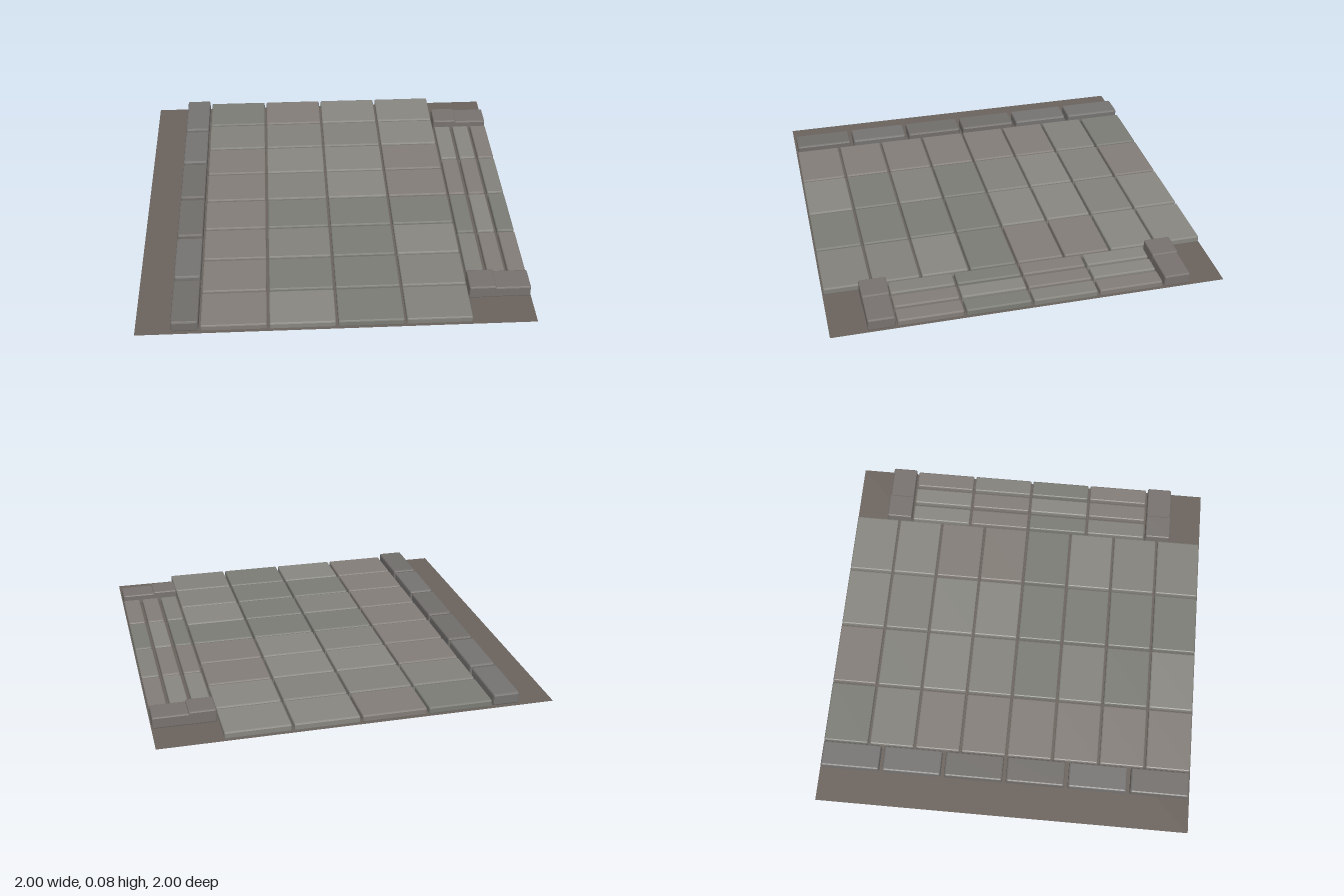
import * as THREE from 'three';
import { RoundedBoxGeometry } from 'three/addons/geometries/RoundedBoxGeometry.js';

const BASE = 0.004; // stones rest just above the ground sheet

// small seeded generator for the slight tint of each stone
function seeded(seed) {
  let s = seed;
  return () => (s = (s * 16807) % 2147483647) / 2147483647;
}

export function createModel() {
  const model = new THREE.Group();
  model.name = 'pavedPath';
  const random = seeded(41);

  // a few neighbouring shades per kind of stone
  const shades = (...colors) => colors.map(
    (color) => new THREE.MeshStandardMaterial({ color, flatShading: true }));
  const slabShades = shades(0x7b7b75, 0x82817b, 0x878680, 0x827c77);
  const kerbShades = shades(0x706d6a, 0x757371);
  const endShades = shades(0x77726f);

  function group(name) {
    const g = new THREE.Group();
    g.name = name;
    model.add(g);
    return g;
  }

  // chamfered stone placed by its centre in plan and its top height
  function stone(parent, name, x, z, width, length, top, palette, bevel = 0.007) {
    const height = top - BASE;
    const mesh = new THREE.Mesh(
      new RoundedBoxGeometry(width, height, length, 1, bevel),
      palette[Math.floor(random() * palette.length)]);
    mesh.name = name;
    mesh.position.set(x, BASE + height / 2, z);
    parent.add(mesh);
  }

  // ground sheet
  const ground = new THREE.Mesh(
    new THREE.PlaneGeometry(2, 2).rotateX(-Math.PI / 2),
    new THREE.MeshStandardMaterial({ color: 0x6a625c, side: THREE.DoubleSide }));
  ground.name = 'ground';
  model.add(ground);

  // main paving: four columns of eight slabs
  const paving = group('paving');
  for (let col = 0; col < 4; col++) {
    for (let row = 0; row < 8; row++) {
      stone(paving, 'pavingSlab', (col - 1.5) * 0.34, (row - 3.5) * 0.25,
        0.328, 0.238, 0.042, slabShades);
    }
  }

  // raised kerb along the right-hand edge
  const kerb = group('kerb');
  for (let i = 0; i < 6; i++) {
    stone(kerb, 'kerbStone', -0.752, (i - 2.5) * 0.3333,
      0.136, 0.312, 0.066, kerbShades, 0.009);
  }

  // three rows of narrow setts along the left-hand edge
  const setts = group('settStrip');
  for (const x of [0.732, 0.842, 0.95]) {
    for (let i = 0; i < 4; i++) {
      stone(setts, 'sett', x, (i - 1.5) * 0.339, 0.092, 0.327, 0.042, slabShades);
    }
  }

  // raised kerb returns closing both ends of the sett strip
  const returns = group('kerbReturns');
  for (const side of [-1, 1]) {
    stone(returns, 'cornerStone', 0.749, side * 0.75, 0.136, 0.138, 0.075, endShades);
    stone(returns, 'returnStone', 0.875, side * 0.75, 0.24, 0.134, 0.066, endShades);
  }

  return model;
}
